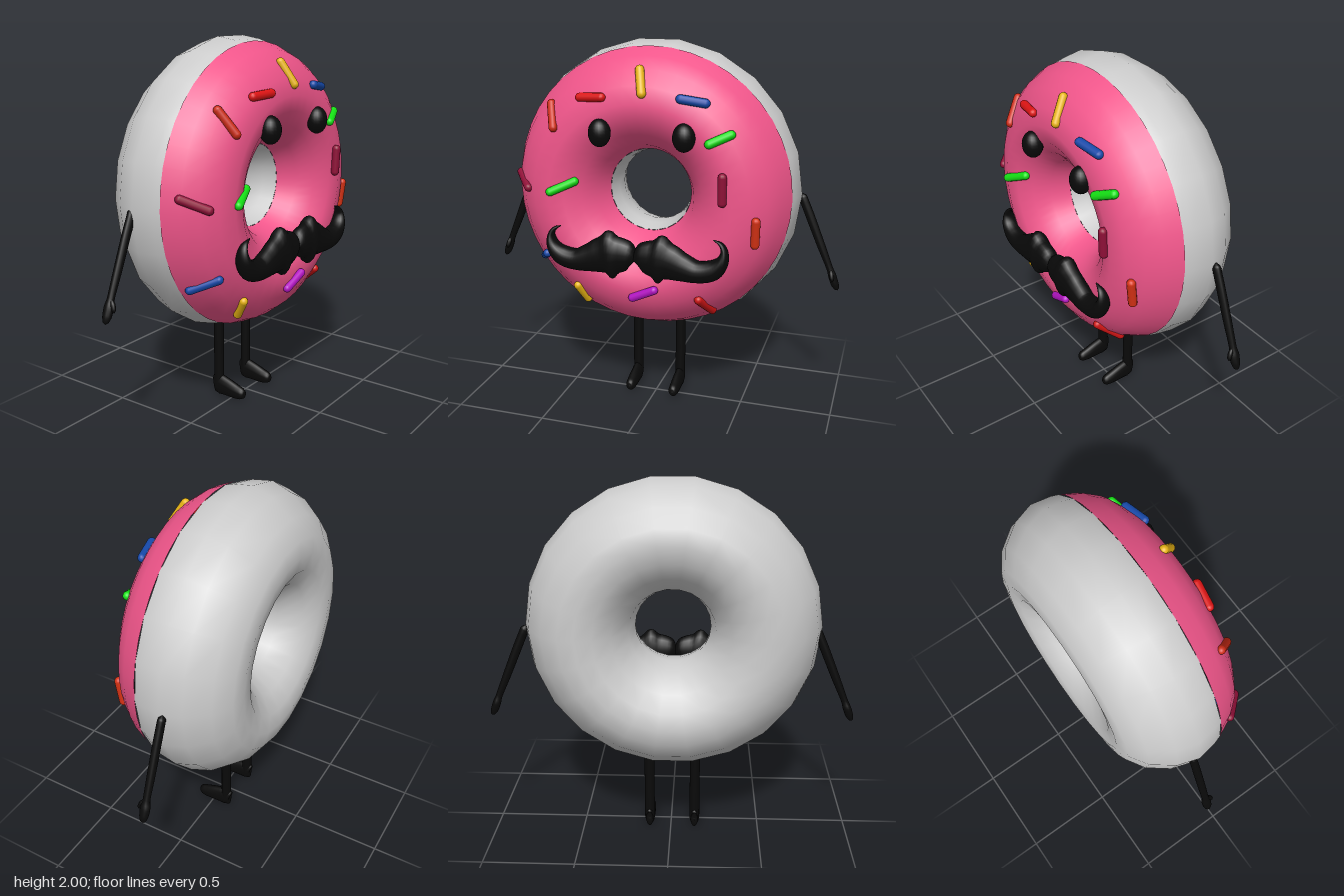
import * as THREE from 'three';

const CY = 1.225, CZ = 0.013; // ring centre; its axis runs along x

const mat = (color) => new THREE.MeshStandardMaterial({ color });
const BLACK = mat(0x090909);

// Ring section as [radius, x]: plain dough, then the glazed front
const DOUGH = [[.225, .06], [.207, -.02], [.2, -.09], [.228, -.2], [.31, -.31], [.4, -.37], [.49, -.385],
  [.575, -.372], [.67, -.31], [.752, -.2], [.787, -.09], [.77, .02], [.757, .06]];
const GLAZE = [[.757, .06], [.715, .15], [.66, .22], [.58, .275], [.49, .303], [.41, .287],
  [.33, .235], [.265, .16], [.225, .06]];

function ring(name, profile, segments, color) {
  const geo = new THREE.LatheGeometry(profile.map(([r, x]) => new THREE.Vector2(r, x)), segments);
  geo.rotateZ(-Math.PI / 2);
  const mesh = new THREE.Mesh(geo, mat(color));
  mesh.name = name;
  mesh.position.set(0, CY, CZ);
  return mesh;
}

// Point on the glazed surface at a given height and depth
function onGlaze(z, y, lift) {
  const r = Math.hypot(z - CZ, y - CY);
  for (let i = 1; i < GLAZE.length; i++) {
    const [r0, x0] = GLAZE[i - 1], [r1, x1] = GLAZE[i];
    if (r <= r0 && r >= r1) return new THREE.Vector3(x0 + (x1 - x0) * (r - r0) / (r1 - r0) + lift, y, z);
  }
  return new THREE.Vector3(0.06, y, z);
}

// Smooth solid along a planar spine: rows are [x, y, z, in-plane radius, radius along the normal]
function loft(name, rows, normal, steps = 30, sides = 14) {
  const spine = new THREE.CatmullRomCurve3(rows.map((r) => new THREE.Vector3(r[0], r[1], r[2])));
  const size = new THREE.CatmullRomCurve3(rows.map((r) => new THREE.Vector3(r[3], r[4], 0)));
  const pos = [], idx = [];
  for (let i = 0; i <= steps; i++) {
    const t = i / steps, c = spine.getPoint(t), s = size.getPoint(t);
    const side = new THREE.Vector3().crossVectors(normal, spine.getTangent(t)).normalize();
    for (let k = 0; k < sides; k++) {
      const a = k / sides * Math.PI * 2;
      const p = c.clone().addScaledVector(side, Math.max(s.x, .001) * Math.cos(a))
        .addScaledVector(normal, Math.max(s.y, .001) * Math.sin(a));
      pos.push(p.x, p.y, p.z);
      if (i < steps) {
        const n = (k + 1) % sides, b = i * sides, d = b + sides;
        idx.push(b + k, b + n, d + k, b + n, d + n, d + k);
      }
    }
  }
  const geo = new THREE.BufferGeometry();
  geo.setAttribute('position', new THREE.Float32BufferAttribute(pos, 3));
  geo.setIndex(idx);
  geo.computeVertexNormals();
  const mesh = new THREE.Mesh(geo, BLACK);
  mesh.name = name;
  return mesh;
}

export function createModel() {
  const model = new THREE.Group();
  model.name = 'doughnutFigure';
  const X = new THREE.Vector3(1, 0, 0), Z = new THREE.Vector3(0, 0, 1), UP = new THREE.Vector3(0, 1, 0);

  // Body
  model.add(ring('dough', DOUGH, 22, 0xcccccc), ring('glaze', GLAZE, 44, 0xf0558a));

  // Eyes
  for (const z of [.208, -.233]) {
    const eye = new THREE.Mesh(new THREE.SphereGeometry(1, 20, 14), BLACK);
    eye.name = 'eye';
    eye.scale.set(.055, .072, .058);
    eye.position.set(.3, 1.565, z);
    model.add(eye);
  }

  // Moustache halves: [distance from centre, y, half height, half thickness]
  const curl = [[-.005, .925, .012, .03], [.035, .935, .078, .052], [.1, .935, .1, .058], [.17, .928, .1, .058],
    [.25, .905, .077, .056], [.33, .888, .058, .054], [.41, .905, .054, .052], [.458, .955, .034, .045],
    [.468, 1.01, .018, .03], [.45, 1.045, .011, .018], [.41, 1.066, .002, .003]];
  for (const s of [1, -1]) {
    model.add(loft('moustacheHalf', curl.map(([u, y, h, d]) => [.327, y, CZ + s * u, h, d]), X, 48, 18));
  }

  // Arms with hands and thumbs
  const arm = [[.768, 1.225, .002, .002], [.775, 1.205, .023, .02], [.82, 1.1, .024, .021], [.885, .945, .022, .021],
    [.938, .82, .018, .019], [.955, .775, .022, .027], [.97, .735, .021, .024], [.982, .708, .012, .014],
    [.985, .7, .001, .001]];
  for (const s of [1, -1]) {
    model.add(loft('arm', arm.map(([z, y, a, b]) => [-.112, y, s * z, a, b]), X));
    model.add(loft('thumb', [[-.105, .82, s * .945, .004, .004], [-.09, .795, s * .95, .013, .013],
      [-.08, .77, s * .955, .011, .011], [-.077, .755, s * .957, .001, .001]], Z, 10, 10));
  }

  // Legs and feet
  for (const z of [.136, -.12]) {
    const leg = new THREE.Mesh(new THREE.CylinderGeometry(.028, .028, .46, 16), BLACK);
    leg.name = 'leg';
    leg.position.set(-.087, .29, z);
    model.add(leg);
    model.add(loft('foot', [[-.116, .06, z, .002, .002], [-.112, .06, z, .05, .02], [-.085, .068, z, .063, .028],
      [-.04, .064, z, .056, .029], [.03, .052, z, .044, .029], [.07, .048, z, .034, .026],
      [.088, .046, z, .02, .016], [.092, .046, z, .001, .001]], Z));
  }

  // Sprinkles: [z, y] of both ends, colour
  const sprinkles = [
    [.02, 1.895, -.017, 1.755, 0xe8b414], [.338, 1.735, .18, 1.745, 0xdd1414],
    [-.192, 1.755, -.348, 1.73, 0x1548a8], [-.345, 1.535, -.477, 1.595, 0x14e014],
    [.513, 1.7, .463, 1.56, 0xcc2a14], [.738, 1.3, .628, 1.23, 0x901038],
    [.503, 1.232, .352, 1.3, 0x14e014], [-.432, 1.4, -.432, 1.235, 0x901038],
    [-.597, 1.175, -.592, 1.015, 0xd63214], [.63, .805, .542, .876, 0x1548a8],
    [.373, .722, .33, .6, 0xe8b414], [.055, .687, -.097, .76, 0xb414c4],
    [-.304, .717, -.363, .6, 0xcc1414]];
  for (const [z0, y0, z1, y1, color] of sprinkles) {
    const a = onGlaze(z0, y0, .012), b = onGlaze(z1, y1, .012), radius = .023;
    const length = a.distanceTo(b) - 2 * radius + .01;
    const mesh = new THREE.Mesh(new THREE.CapsuleGeometry(radius, length, 5, 12), mat(color));
    mesh.name = 'sprinkle';
    mesh.position.lerpVectors(a, b, .5);
    mesh.quaternion.setFromUnitVectors(UP, b.sub(a).normalize());
    model.add(mesh);
  }
  return model;
}
